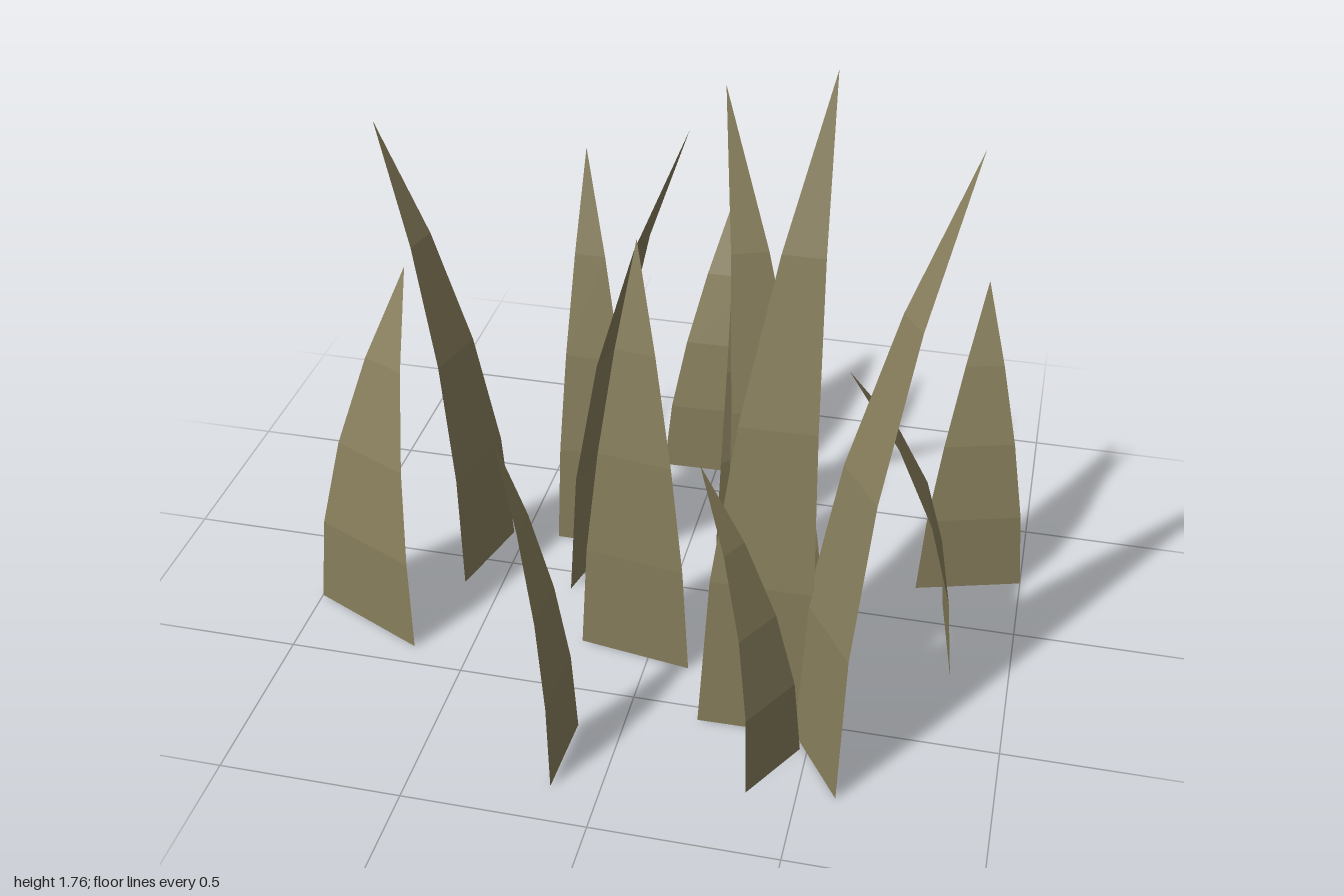
import * as THREE from 'three';

// Each blade: base corner A (x, z), base corner B (x, z), tip (x, y, z)
const BLADES = [
  { a: [-0.17, -0.61], b: [0.22, -0.62], tip: [-0.01, 0.84, -0.88] },
  { a: [0.08, -0.23], b: [0.33, -0.45], tip: [0.05, 1.08, -0.61] },
  { a: [-0.40, -0.16], b: [-0.15, -0.16], tip: [-0.35, 1.21, -0.41] },
  { a: [-0.295, 0.08], b: [-0.235, -0.18], tip: [0.05, 1.51, 0.04] },
  { a: [-0.20, 0.30], b: [0.12, 0.35], tip: [-0.07, 1.23, 0.13] },
  { a: [0.70, -0.15], b: [1.0, -0.24], tip: [0.82, 0.89, -0.46] },
  { a: [-0.61, 0.12], b: [-0.54, -0.15], tip: [-0.90, 1.34, -0.18] },
  { a: [-1.0, 0.27], b: [-0.66, 0.43], tip: [-0.75, 1.02, 0.05] },
  { a: [0.23, 0.39], b: [0.49, 0.28], tip: [0.12, 1.59, -0.08] },
  { a: [0.84, 0.22], b: [0.785, -0.10], tip: [0.51, 0.94, 0.19] },
  { a: [0.19, 0.55], b: [0.50, 0.545], tip: [0.44, 1.76, 0.15] },
  { a: [0.44, 0.52], b: [0.60, 0.76], tip: [0.81, 1.63, 0.24] },
  { a: [0.37, 0.79], b: [0.48, 0.60], tip: [0.20, 0.87, 0.59] },
  { a: [-0.13, 0.88], b: [-0.12, 0.64], tip: [-0.30, 0.94, 0.69] },
];
const SEGMENTS = 4;

// Flat strip that narrows towards the tip and bends over quadratically
function bladeGeometry({ a, b, tip }) {
  const midX = (a[0] + b[0]) / 2, midZ = (a[1] + b[1]) / 2;
  const halfX = (b[0] - a[0]) / 2, halfZ = (b[1] - a[1]) / 2;
  const positions = [], indices = [];
  for (let i = 0; i <= SEGMENTS; i++) {
    const t = i / SEGMENTS;
    const x = midX + (tip[0] - midX) * t * t;
    const z = midZ + (tip[2] - midZ) * t * t;
    const y = tip[1] * (1.05 * t - 0.05 * t * t);
    const w = 1 - Math.pow(t, 1.55);
    if (i === SEGMENTS) positions.push(x, y, z);
    else positions.push(x - halfX * w, y, z - halfZ * w, x + halfX * w, y, z + halfZ * w);
  }
  for (let i = 0; i < SEGMENTS; i++) {
    const k = i * 2;
    if (i === SEGMENTS - 1) indices.push(k, k + 1, k + 2);
    else indices.push(k, k + 1, k + 3, k, k + 3, k + 2);
  }
  const geometry = new THREE.BufferGeometry();
  geometry.setAttribute('position', new THREE.Float32BufferAttribute(positions, 3));
  geometry.setIndex(indices);
  const flat = geometry.toNonIndexed();
  flat.computeVertexNormals();
  return flat;
}

export function createModel() {
  const group = new THREE.Group();
  group.name = 'grassClump';
  const olive = new THREE.MeshStandardMaterial({
    color: 0x857c5a, side: THREE.DoubleSide, flatShading: true,
  });
  olive.name = 'dry olive';
  BLADES.forEach((blade, i) => {
    const mesh = new THREE.Mesh(bladeGeometry(blade), olive);
    mesh.name = `grassBlade${i + 1}`;
    group.add(mesh);
  });
  return group;
}
